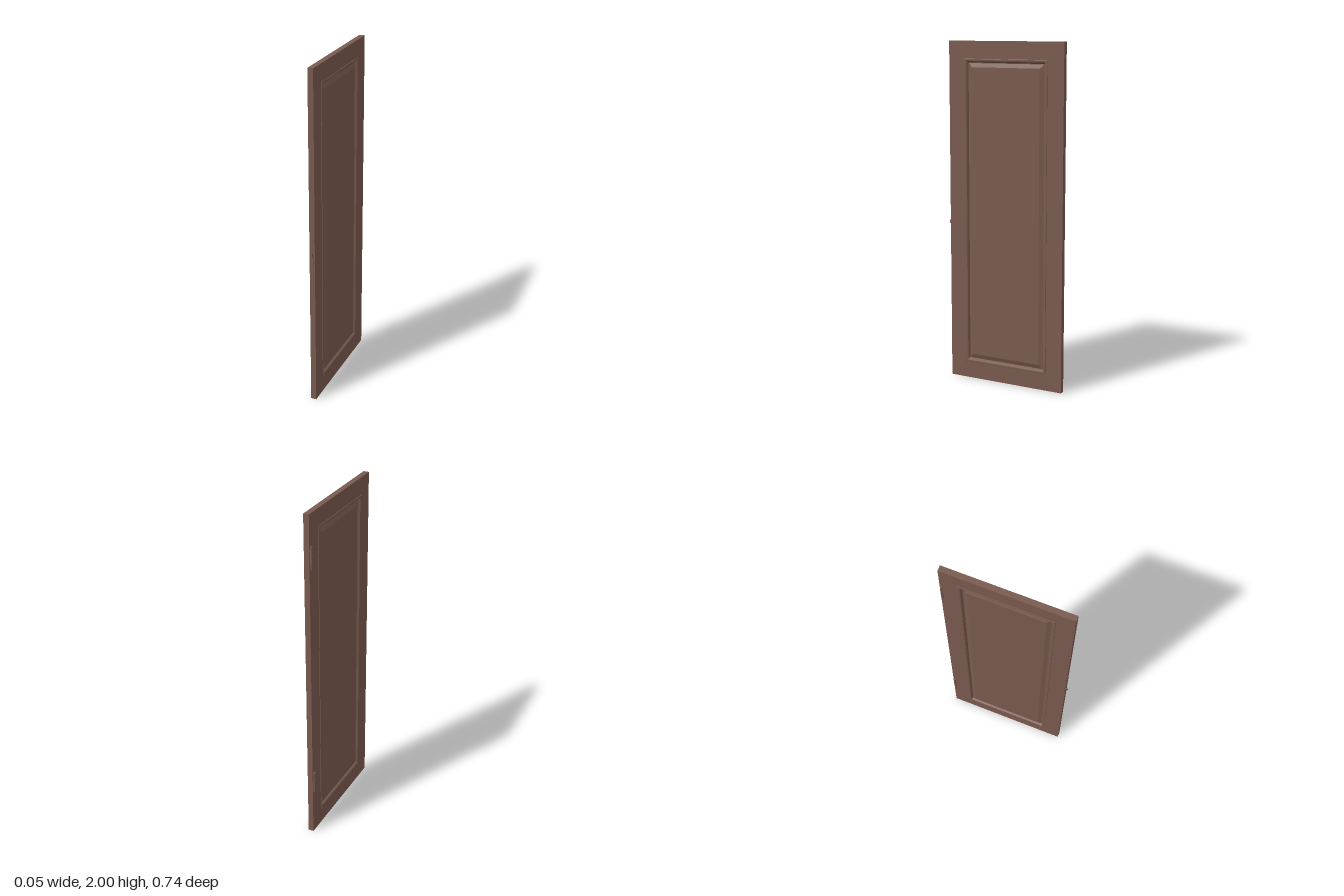
import * as THREE from 'three';

const CZ = -0.0065, CY = 1;          // centre of the door leaf
const HZ = 0.3635, HY = 1;           // half width and half height
const BACK = -0.012, FRONT = 0.02;   // the two faces of the leaf

// Moulding profile from the edge inwards: [inset, height above the face]
const PROFILE = [
  [0, 0], [0.1, 0], [0.1, 0.003], [0.102, 0.004], [0.109, 0.004], [0.114, 0.002],
  [0.118, -0.004], [0.122, -0.01], [0.125, -0.01], [0.148, 0],
];

// Closed leaf made of nested rectangles, mitred at the corners
function leafGeometry() {
  const ring = (inset, x) => [[1, 1], [1, -1], [-1, -1], [-1, 1]].map(
    ([sz, sy]) => [x, CY + sy * (HY - inset), CZ + sz * (HZ - inset)]);
  const rings = [
    ...PROFILE.map(([i, h]) => ring(i, FRONT + h)).reverse(),
    ...PROFILE.map(([i, h]) => ring(i, BACK - h)),
  ];
  const pos = [];
  const quad = (a, b, c, d) => pos.push(...a, ...b, ...c, ...a, ...c, ...d);
  for (let r = 0; r < rings.length - 1; r++) {
    const p = rings[r], q = rings[r + 1];
    for (let k = 0; k < 4; k++) {
      const n = (k + 1) % 4;
      quad(p[k], q[k], q[n], p[n]);
    }
  }
  const f = rings[0], b = rings[rings.length - 1];
  quad(f[0], f[1], f[2], f[3]);
  quad(b[3], b[2], b[1], b[0]);
  const g = new THREE.BufferGeometry();
  g.setAttribute('position', new THREE.Float32BufferAttribute(pos, 3));
  g.computeVertexNormals();
  return g;
}

export function createModel() {
  const model = new THREE.Group();
  model.name = 'door';
  const brown = new THREE.MeshStandardMaterial({ color: 0x795a4f });
  brown.name = 'brown';

  const add = (parent, name, geometry, x = 0, y = 0, z = 0) => {
    const mesh = new THREE.Mesh(geometry, brown);
    mesh.name = name;
    mesh.position.set(x, y, z);
    parent.add(mesh);
    return mesh;
  };

  add(model, 'doorLeaf', leafGeometry());

  // Latch plate on the free edge, with its screws
  add(model, 'latchPlate', new THREE.BoxGeometry(0.018, 0.18, 0.002), 0.004, 0.943, 0.3564);
  for (const y of [0.868, 1.018]) {
    const screw = add(model, 'latchScrew', new THREE.CylinderGeometry(0.004, 0.004, 0.001, 12), 0.004, y, 0.3573);
    screw.rotation.x = Math.PI / 2;
  }

  // Wedge-shaped latch bolt; the shape's y becomes -z
  const wedge = new THREE.Shape([
    new THREE.Vector2(-0.003, -0.355),
    new THREE.Vector2(-0.003, -0.358),
    new THREE.Vector2(0.008, -0.369),
    new THREE.Vector2(0.008, -0.355),
  ]);
  const bolt = new THREE.ExtrudeGeometry(wedge, { depth: 0.022, bevelEnabled: false });
  bolt.rotateX(-Math.PI / 2);
  add(model, 'latchBolt', bolt, 0, 0.931, 0);

  // Two hinges: five knuckles around a pin
  for (const y of [0.351, 1.756]) {
    const hinge = new THREE.Group();
    hinge.name = 'hinge';
    hinge.position.set(-0.0182, y, -0.36);
    model.add(hinge);
    for (let i = -2; i <= 2; i++) {
      add(hinge, 'knuckle', new THREE.CylinderGeometry(0.0063, 0.0063, 0.0255, 16), 0, i * 0.027, 0);
    }
    add(hinge, 'pin', new THREE.CylinderGeometry(0.0045, 0.0045, 0.1335, 12));
  }
  return model;
}
